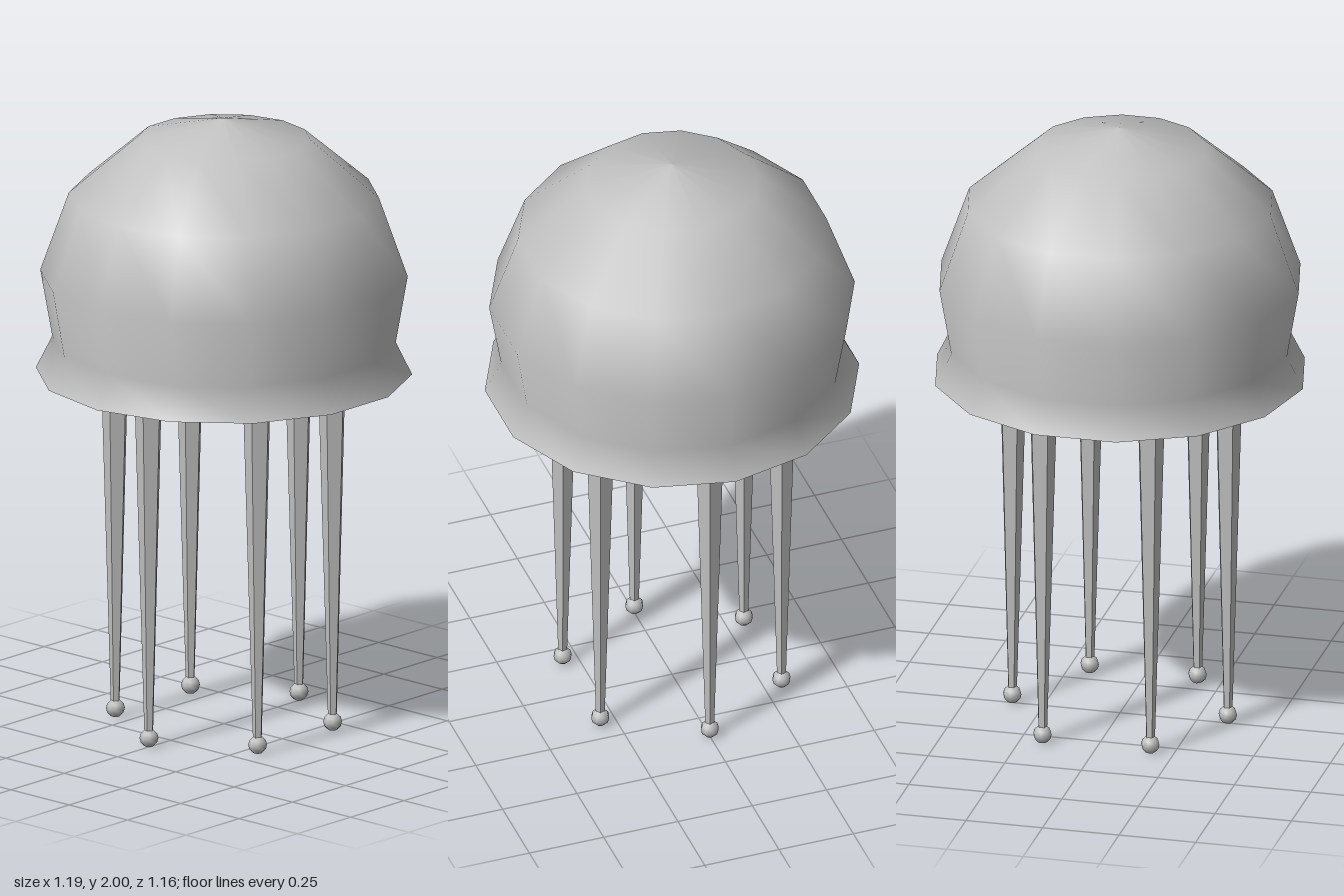
import * as THREE from 'three';

export function createModel() {
  const model = new THREE.Group();
  model.name = 'jellyfish';

  const grey = new THREE.MeshStandardMaterial({ color: 0xc0c0c0 });
  grey.name = 'grey';
  const flatGrey = grey.clone();
  flatGrey.flatShading = true;

  function add(name, geometry, material, x = 0, y = 0, z = 0) {
    const mesh = new THREE.Mesh(geometry, material);
    mesh.name = name;
    mesh.position.set(x, y, z);
    model.add(mesh);
    return mesh;
  }

  // Fourteen-sided surface of revolution with a corner on the x axis
  function lathe(name, profile) {
    const points = profile.map(([r, y]) => new THREE.Vector2(r, y));
    add(name, new THREE.LatheGeometry(points, 14, Math.PI / 2), grey);
  }

  // Hollow bell: outer skin, flat rim underneath and inner skin
  lathe('bellOuter', [[0.597, 1.165], [0.545, 1.27], [0.583, 1.488], [0.492, 1.745], [0.275, 1.932], [0, 2]]);
  lathe('bellRim', [[0.545, 1.165], [0.597, 1.165]]);
  lathe('bellInner', [[0, 1.95], [0.25, 1.885], [0.45, 1.71], [0.533, 1.48], [0.495, 1.27], [0.545, 1.165]]);

  // Core and the five small organs around it
  add('core', new THREE.SphereGeometry(0.16, 12, 8), grey, 0, 1.5, 0);
  const organ = new THREE.SphereGeometry(0.048, 8, 6);
  for (let i = 0; i < 5; i++) {
    const a = (i / 5) * Math.PI * 2;
    add('organ', organ, grey, 0.225 * Math.cos(a), 1.46, 0.225 * Math.sin(a));
  }

  // Six tapering tentacles with beads at their tips
  const tentacle = new THREE.CylinderGeometry(0.05, 0.0145, 1.26, 5);
  const bead = new THREE.SphereGeometry(0.03, 8, 6);
  for (let i = 0; i < 6; i++) {
    const a = (i / 6) * Math.PI * 2;
    const x = 0.352 * Math.cos(a), z = 0.352 * Math.sin(a);
    add('tentacle', tentacle, flatGrey, x, 0.665, z);
    add('tentacleTip', bead, grey, x, 0.03, z);
  }

  return model;
}
